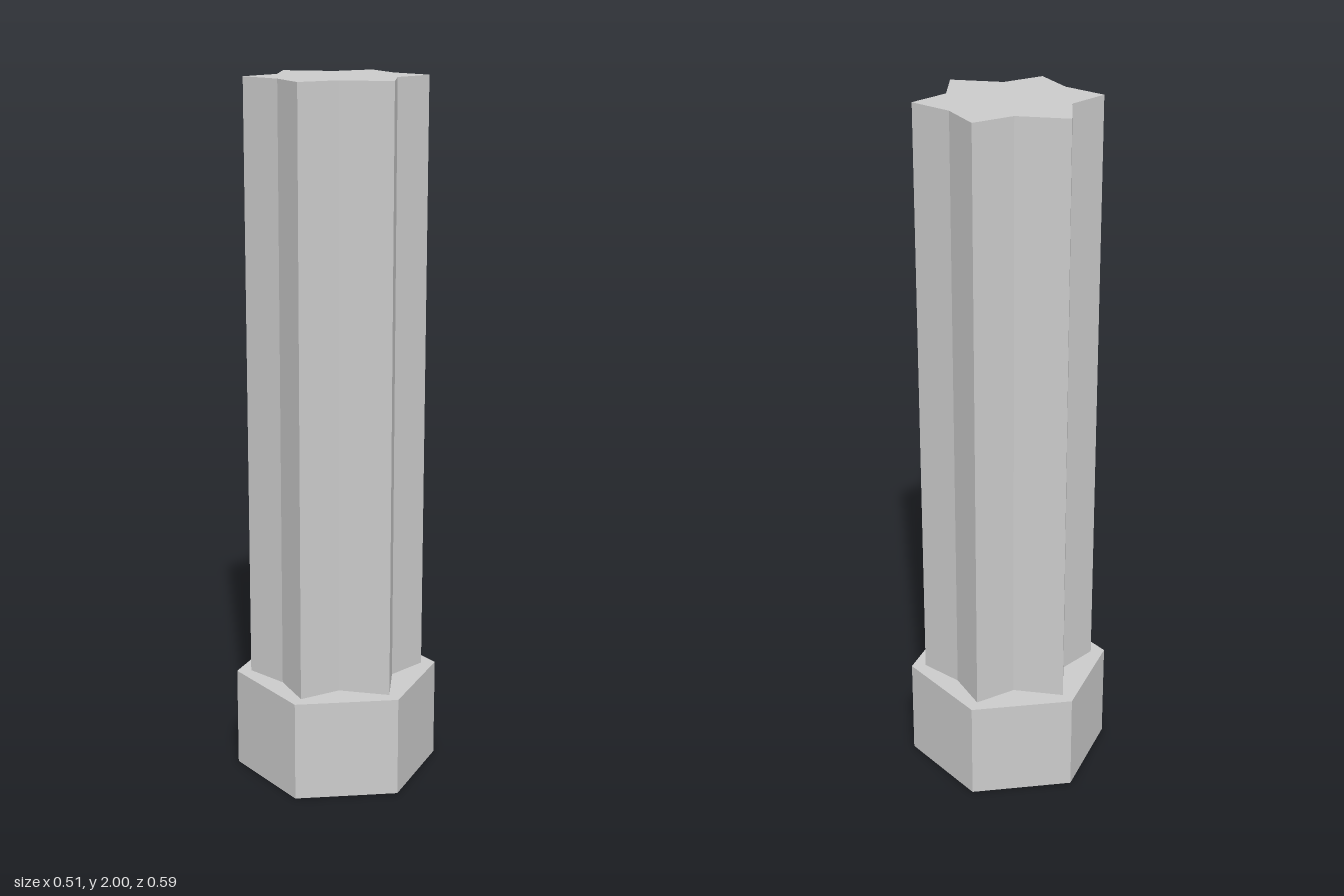
import * as THREE from 'three';

export function createModel() {
  const group = new THREE.Group();
  const material = new THREE.MeshStandardMaterial({ color: 0xcccccc, flatShading: true });
  const baseHeight = 0.29;

  // Hexagonal foot, one corner facing front
  const base = new THREE.Mesh(new THREE.CylinderGeometry(0.293, 0.293, baseHeight, 6), material);
  base.name = 'hexagonalBase';
  base.position.y = baseHeight / 2;
  group.add(base);

  // Six-pointed star outline: one quarter, mirrored into the other three
  const quarter = [[0.193, 0], [0.218, 0.126], [0.096, 0.142], [0, 0.252]];
  const half = [...quarter, ...quarter.slice(0, 3).reverse().map(([x, y]) => [-x, y])];
  const outline = [...half, ...half.slice(1, -1).reverse().map(([x, y]) => [x, -y])];
  const star = new THREE.Shape(outline.map(([x, y]) => new THREE.Vector2(x, y)));

  // Fluted shaft standing on the foot
  const shaftGeometry = new THREE.ExtrudeGeometry(star, { depth: 2 - baseHeight, bevelEnabled: false });
  shaftGeometry.rotateX(-Math.PI / 2);
  const shaft = new THREE.Mesh(shaftGeometry, material);
  shaft.name = 'starShaft';
  shaft.position.y = baseHeight;
  group.add(shaft);

  return group;
}
